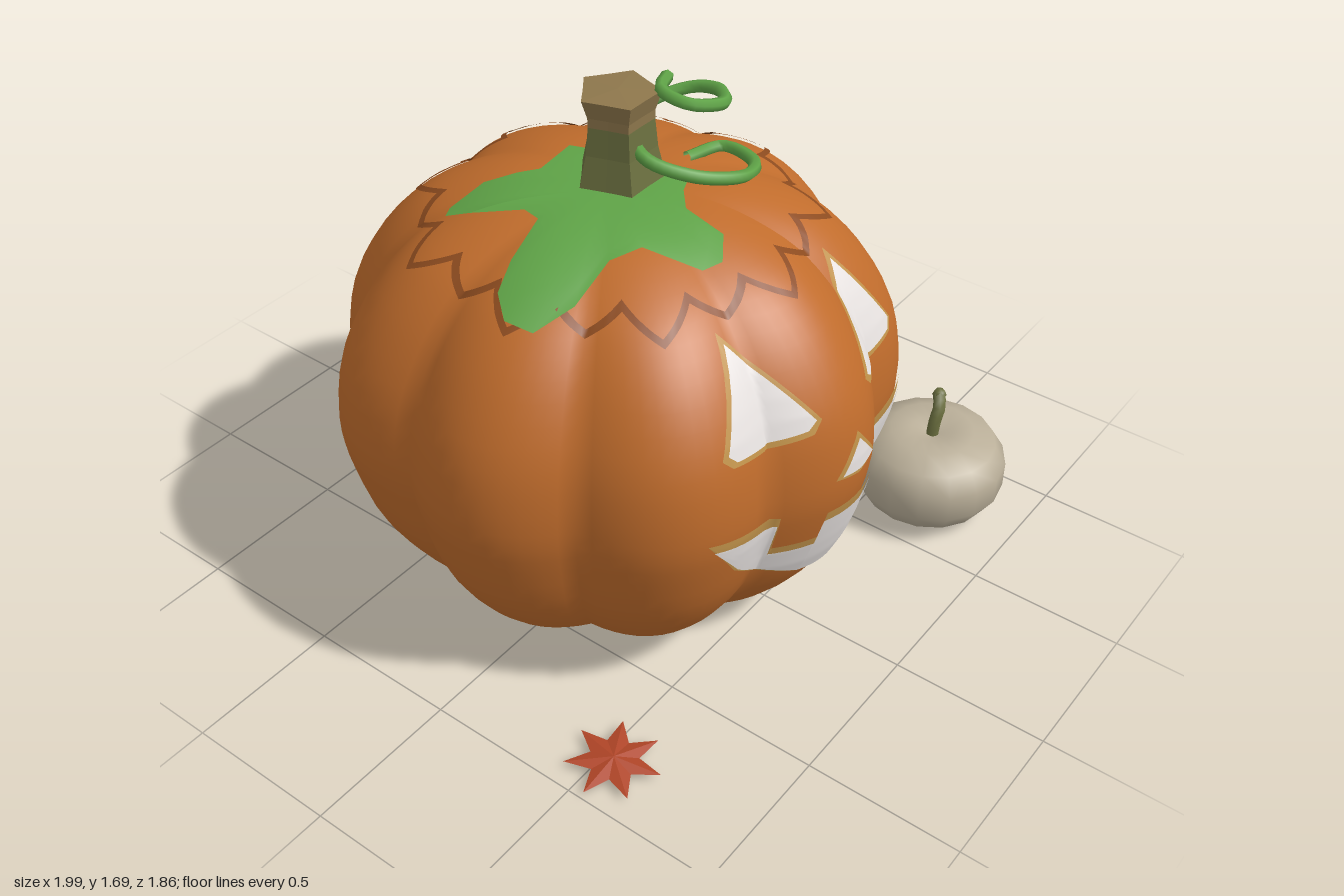
import * as THREE from 'three';

const mat = (name, color, side = THREE.FrontSide) => {
  const m = new THREE.MeshStandardMaterial({ color, side });
  m.name = name;
  return m;
};

// Piecewise linear lookup of y at x in [[x, y], ...] sorted by x
function lerp(pts, x) {
  for (let i = 1; i < pts.length; i++) {
    const [x0, y0] = pts[i - 1], [x1, y1] = pts[i];
    if (x <= x1) return x1 - x0 < 1e-9 ? y1 : y0 + (y1 - y0) * Math.max(0, (x - x0) / (x1 - x0));
  }
  return pts[pts.length - 1][1];
}

// Surface from fn(i, j) -> [x, y, z]; i runs rightwards and j upwards seen from outside
function grid(nu, nv, fn) {
  const pos = [], idx = [];
  for (let j = 0; j <= nv; j++) for (let i = 0; i <= nu; i++) pos.push(...fn(i, j));
  for (let j = 0; j < nv; j++) for (let i = 0; i < nu; i++) {
    const a = j * (nu + 1) + i, d = a + nu + 1;
    idx.push(a, a + 1, d + 1, a, d + 1, d);
  }
  const g = new THREE.BufferGeometry();
  g.setAttribute('position', new THREE.Float32BufferAttribute(pos, 3));
  g.setIndex(idx);
  g.computeVertexNormals();
  return g;
}

function flat(g) {
  const f = g.toNonIndexed();
  f.computeVertexNormals();
  return f;
}

// Pumpkin body: nine lobes around a round profile
const CX = -0.02, CZ = -0.085;
const curve = new THREE.SplineCurve([[0.5, 0.03], [0.65, 0.12], [0.8, 0.33], [0.87, 0.54], [0.892, 0.7],
  [0.86, 0.9], [0.765, 1.08], [0.645, 1.21], [0.52, 1.285], [0.36, 1.34], [0.2, 1.362], [0, 1.365]]
  .map(p => new THREE.Vector2(...p)));
const profile = curve.getPoints(33);
const radiusAt = profile.map(p => [p.y, p.x]);
const heightAt = profile.filter(p => p.y > 0.8).map(p => [p.x, p.y]).reverse();
const lobe = a => 0.91 + 0.09 * Math.abs(Math.cos(4.5 * a));
const onBody = (a, r, y) => [CX + r * lobe(a) * Math.sin(a), y, CZ + r * lobe(a) * Math.cos(a)];

// Height of the body under a point, and depth of its front at a point
function topY(x, z) {
  const dx = x - CX, dz = z - CZ;
  return lerp(heightAt, Math.hypot(dx, dz) / lobe(Math.atan2(dx, dz)));
}
function frontZ(x, y) {
  const R = lerp(radiusAt, y);
  let a = 0;
  for (let k = 0; k < 20; k++) a = Math.asin(THREE.MathUtils.clamp(x / (R * lobe(a)), -1, 1));
  return CZ + R * lobe(a) * Math.cos(a);
}

// Thin plate lying on the front of the body between two outlines
function plate(top, bottom, lift) {
  const x0 = top[0][0], x1 = top[top.length - 1][0];
  const xs = [...top, ...bottom].map(p => p[0]);
  for (let i = 0; i <= 30; i++) xs.push(x0 + (x1 - x0) * i / 30);
  xs.sort((a, b) => a - b);
  return grid(xs.length - 1, 14, (i, j) => {
    const x = xs[i], lo = lerp(bottom, x), y = lo + (lerp(top, x) - lo) * j / 14;
    return [CX + x, y, frontZ(x, y) + lift];
  });
}
const flip = pts => pts.map(([x, y]) => [-x, y]).reverse();
const both = pts => [...flip(pts), ...pts];

export function createModel() {
  const model = new THREE.Group();
  const orange = mat('pumpkin orange', 0xc06c2c);
  const groove = mat('lid groove brown', 0x8c4b1f, THREE.DoubleSide);
  const ochre = mat('carved rim ochre', 0xc0924a, THREE.DoubleSide);
  const white = mat('glow white', 0xe9e4e2, THREE.DoubleSide);
  const olive = mat('stem olive', 0x6c7040);
  const tan = mat('stem tan', 0x8e774c);
  const green = mat('leaf green', 0x5fa347, THREE.DoubleSide);
  const cream = mat('small pumpkin cream', 0xb9ae98);
  const red = mat('fallen leaf red', 0xb04527);
  const amber = mat('fallen leaf amber', 0xbd7630);
  const add = (name, geometry, material, parent = model) => {
    const m = new THREE.Mesh(geometry, material);
    m.name = name;
    parent.add(m);
    return m;
  };

  // Body and its underside
  const N = 108;
  const angle = i => Math.PI / 9 + i / N * Math.PI * 2;
  add('pumpkinBody', grid(N, profile.length - 1, (i, j) => onBody(angle(i), profile[j].x, profile[j].y)), orange);
  add('pumpkinBase', grid(N, 1, (i, j) => onBody(angle(i), j ? 0.5 : 0, 0.03)), orange);

  // Zigzag seam of the cut lid, with eighteen points
  add('lidSeam', grid(360, 1, (i, j) => {
    const a = i / 360 * Math.PI * 2, w = i % 20 / 10;
    const y = 1.208 + 0.06 * (w > 1 ? 2 - w : w) + 0.017 * j;
    const p = onBody(a, lerp(radiusAt, y) + 0.005, y + 0.006);
    return p;
  }), groove);

  // Carved face: an ochre rim plate with a white plate over it
  const face = new THREE.Group();
  face.name = 'carvedFace';
  model.add(face);
  const eye = [[[0.116, 0.94], [0.27, 1.21], [0.437, 0.935]],
    [[0.116, 0.94], [0.15, 0.905], [0.28, 0.888], [0.41, 0.905], [0.437, 0.935]]];
  const eyeInner = [[[0.135, 0.945], [0.27, 1.185], [0.418, 0.945]],
    [[0.135, 0.945], [0.165, 0.922], [0.28, 0.908], [0.395, 0.92], [0.418, 0.945]]];
  for (const [side, f] of [['left', p => p], ['right', flip]]) {
    add(side + 'EyeRim', plate(...eye.map(f), 0.007), ochre, face);
    add(side + 'Eye', plate(...eyeInner.map(f), 0.012), white, face);
  }
  add('noseRim', plate(both([[0, 0.85], [0.1, 0.725]]), both([[0, 0.705], [0.1, 0.725]]), 0.007), ochre, face);
  add('nose', plate(both([[0, 0.828], [0.08, 0.732]]), both([[0, 0.722], [0.08, 0.732]]), 0.012), white, face);
  add('mouthRim', plate(
    both([[0, 0.61], [0.115, 0.61], [0.118, 0.505], [0.245, 0.505], [0.248, 0.64], [0.515, 0.685]]),
    both([[0, 0.325], [0.13, 0.34], [0.26, 0.405], [0.4, 0.52], [0.515, 0.685]]), 0.007), ochre, face);
  add('mouth', plate(
    both([[0, 0.582], [0.125, 0.582], [0.128, 0.482], [0.252, 0.482], [0.255, 0.61], [0.5, 0.658]]),
    both([[0, 0.331], [0.13, 0.346], [0.26, 0.412], [0.39, 0.52], [0.5, 0.658]]), 0.012), white, face);

  // Star-sectioned stem: olive below, tan above
  const stemPart = rings => flat(grid(10, rings.length - 1, (i, j) => {
    const a = Math.PI + i / 10 * Math.PI * 2, [y, r] = rings[j], s = r * (i % 2 ? 0.8 : 1);
    return [-0.01 + s * Math.sin(a), y, -0.08 + s * Math.cos(a)];
  }));
  add('stemLower', stemPart([[1.34, 0.15], [1.38, 0.138], [1.48, 0.115], [1.57, 0.106]]), olive);
  add('stemUpper', stemPart([[1.57, 0.106], [1.6, 0.107], [1.66, 0.127], [1.665, 0]]), tan);

  // Lobed leaf draped over the top
  const outline = [[-0.4, -0.42], [-0.36, -0.44], [-0.24, -0.41], [-0.17, -0.34], [-0.12, -0.29], [0.04, -0.31],
    [0.08, -0.17], [0.11, -0.02], [0.15, 0.07], [0.04, 0.12], [-0.03, 0.18], [-0.04, 0.32], [-0.12, 0.375],
    [-0.18, 0.35], [-0.25, 0.19], [-0.34, 0.145], [-0.5, 0.15], [-0.62, 0.1], [-0.635, 0.01], [-0.58, -0.06],
    [-0.48, -0.095], [-0.32, -0.13], [-0.31, -0.19], [-0.38, -0.34]].reverse();
  add('topLeaf', grid(outline.length, 8, (i, j) => {
    const [ox, oz] = outline[i % outline.length], t = 1 - j / 8;
    const x = -0.1 + (ox + 0.1) * t, z = -0.05 + (oz + 0.05) * t;
    return [x, topY(x, z) + 0.016, z];
  }), green);

  // Curling tendril
  const tendril = new THREE.CatmullRomCurve3([[0.22, 1.36, 0], [0.35, 1.355, 0.04], [0.3, 1.375, 0.19],
    [0.17, 1.405, 0.24], [0.02, 1.45, 0.17], [-0.04, 1.49, 0.04], [0.05, 1.52, -0.08], [0.16, 1.54, -0.1],
    [0.26, 1.575, -0.02], [0.26, 1.6, 0.08], [0.17, 1.62, 0.16], [0.06, 1.65, 0.12], [0.06, 1.665, 0.02],
    [0.13, 1.67, -0.01]].map(p => new THREE.Vector3(...p)));
  add('tendril', new THREE.TubeGeometry(tendril, 70, 0.02, 6), green);

  // Small pale pumpkin beside the big one
  const small = new THREE.Group();
  small.name = 'smallPumpkin';
  small.position.set(0.742, 0, 0.665);
  model.add(small);
  add('smallBody', new THREE.LatheGeometry([[0, 0.015], [0.07, 0.002], [0.14, 0], [0.215, 0.045], [0.255, 0.11],
    [0.255, 0.2], [0.215, 0.265], [0.14, 0.3], [0.07, 0.298], [0, 0.275]].map(p => new THREE.Vector2(...p)), 16),
  cream, small);
  const bend = new THREE.CatmullRomCurve3([[0, 0.27, 0], [0.01, 0.33, 0], [0.03, 0.37, 0], [0.06, 0.4, -0.02]]
    .map(p => new THREE.Vector3(...p)));
  add('smallStem', new THREE.TubeGeometry(bend, 6, 0.022, 6), olive, small);
  const tip = add('smallStemTip', new THREE.SphereGeometry(0.024, 6, 4), olive, small);
  tip.position.set(0.06, 0.4, -0.02);

  // Fallen star-shaped leaves, thin and ridged towards the middle
  function fallenLeaf(name, x, z, turn, material) {
    const g = flat(grid(14, 2, (i, j) => {
      const a = i / 14 * Math.PI * 2, r = j === 1 ? (i % 2 ? 0.075 : 0.148) : 0;
      return [r * Math.sin(a), [0.012, 0.022, 0.036][j], r * Math.cos(a)];
    }));
    const m = add(name, g, material);
    m.position.set(x, 0, z);
    m.rotation.y = turn;
  }
  fallenLeaf('redFallenLeaf', -0.845, 0.545, 2.95, red);
  fallenLeaf('amberFallenLeaf', 0.765, -0.625, 0.15, amber);

  return model;
}
